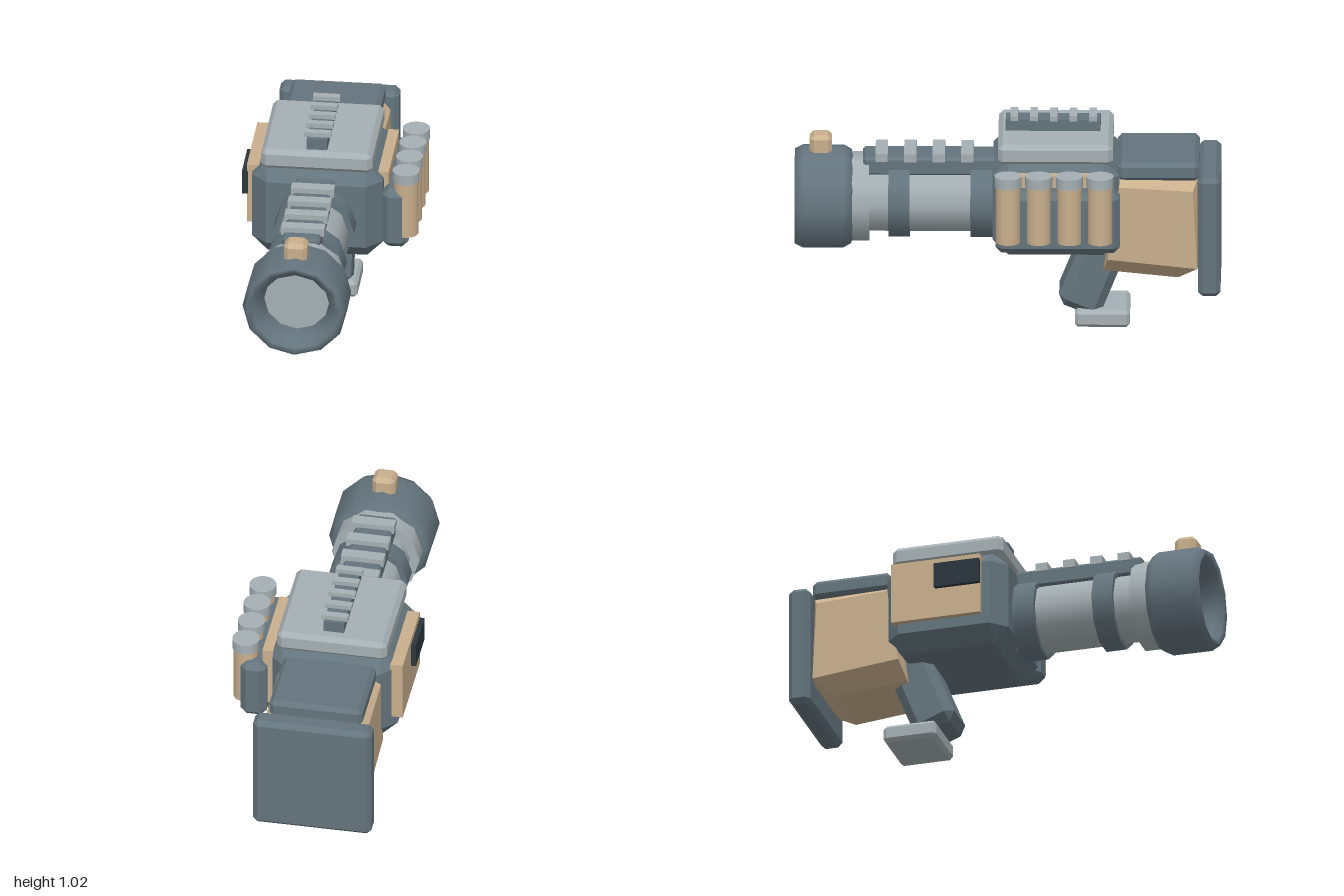
import * as THREE from 'three';
import { ConvexGeometry } from 'three/addons/geometries/ConvexGeometry.js';

const mat = (color, extra = {}) => new THREE.MeshStandardMaterial({ color, ...extra });
const dark = mat(0x64747d), light = mat(0xa5afb3), tan = mat(0xc9af8d), black = mat(0x2b363d);
const CX = -0.06, AXIS_Y = 0.6; // barrel axis

// Box with every edge and corner cut off by c
function chamferBox(w, h, d, c) {
  const pts = [];
  for (const sx of [-1, 1]) for (const sy of [-1, 1]) for (const sz of [-1, 1]) {
    const x = w / 2, y = h / 2, z = d / 2;
    pts.push(new THREE.Vector3(sx * x, sy * (y - c), sz * (z - c)),
      new THREE.Vector3(sx * (x - c), sy * y, sz * (z - c)),
      new THREE.Vector3(sx * (x - c), sy * (y - c), sz * z));
  }
  return new ConvexGeometry(pts);
}

export function createModel() {
  const model = new THREE.Group();
  const add = (name, geometry, material, x = 0, y = 0, z = 0) => {
    const mesh = new THREE.Mesh(geometry, material);
    mesh.name = name;
    mesh.position.set(x, y, z);
    model.add(mesh);
    return mesh;
  };
  // Box given by its extents; c is the chamfer
  const block = (name, material, [x0, x1], [y0, y1], [z0, z1], c = 0) => {
    const s = [x1 - x0, y1 - y0, z1 - z0];
    const geometry = c ? chamferBox(...s, c) : new THREE.BoxGeometry(...s);
    return add(name, geometry, material, (x0 + x1) / 2, (y0 + y1) / 2, (z0 + z1) / 2);
  };
  // Ten-sided tube along the barrel axis
  const ring = (name, material, r, z0, z1) => {
    const geometry = new THREE.CylinderGeometry(r, r, z1 - z0, 10, 1, false, Math.PI / 2);
    geometry.rotateX(Math.PI / 2);
    add(name, geometry, material, CX, AXIS_Y, (z0 + z1) / 2);
  };

  // Barrel with its collar and bands
  ring('barrel', light, 0.163, -0.05, 0.7);
  ring('barrelCollar', light, 0.21, 0.65, 0.8);
  ring('frontBand', dark, 0.19, 0.46, 0.56);
  ring('rearBand', dark, 0.19, 0.06, 0.175);

  // Muzzle with a rolled lip, and the recessed bore face
  const profile = [[0.18, 0.72], [0.225, 0.735], [0.245, 0.77], [0.247, 0.96], [0.227, 1.0],
    [0.2, 0.99], [0.168, 0.95], [0.155, 0.9], [0.155, 0.84]].map(p => new THREE.Vector2(...p));
  const muzzle = new THREE.LatheGeometry(profile, 12);
  muzzle.rotateX(Math.PI / 2);
  add('muzzle', muzzle, mat(0x64747d, { side: THREE.DoubleSide }), CX, AXIS_Y, 0);
  add('boreFace', new THREE.CircleGeometry(0.17, 12), light, CX, AXIS_Y, 0.87);
  block('frontSight', tan, [-0.117, -0.008], [0.8, 0.915], [0.825, 0.93], 0.02);

  // Slatted rail over the barrel
  block('barrelRail', dark, [-0.155, 0.025], [0.73, 0.82], [0.05, 0.68], 0.012);
  for (let i = 0; i < 4; i++) {
    const z = 0.19 + i * 0.134;
    block('barrelRailSlat', light, [-0.163, 0.04], [0.805, 0.845], [z - 0.029, z + 0.029]);
  }

  // Receiver, top plate and upper rail
  block('receiver', dark, [-0.372, 0.247], [0.395, 0.865], [-0.525, 0.07], 0.075);
  block('topPlate', light, [-0.325, 0.2], [0.845, 0.945], [-0.495, 0.045], 0.022);
  block('upperRail', dark, [-0.112, -0.015], [0.94, 1.0], [-0.435, 0.01]);
  for (let i = 0; i < 5; i++) {
    const z = -0.4 + i * 0.0925;
    block('upperRailSlat', light, [-0.127, 0], [0.998, 1.022], [z - 0.018, z + 0.018]);
  }

  // Side panels
  block('rightPanel', tan, [-0.4, -0.34], [0.52, 0.82], [-0.475, -0.04]);
  block('leftPanel', tan, [0.22, 0.27], [0.52, 0.82], [-0.475, -0.04]);
  block('rightClip', black, [-0.423, -0.395], [0.667, 0.788], [-0.26, -0.04]);

  // Row of canisters in a holder on the left side
  block('canisterHolder', dark, [0.245, 0.37], [0.465, 0.765], [-0.53, 0.055], 0.03);
  for (let i = 0; i < 4; i++) {
    const z = -0.005 - i * 0.144;
    add('canister', new THREE.CylinderGeometry(0.058, 0.058, 0.28, 20), tan, 0.356, 0.665, z);
    add('canisterCap', new THREE.CylinderGeometry(0.064, 0.064, 0.05, 20), light, 0.356, 0.829, z);
  }

  // Stock: tapered core, top cover and butt plate
  const core = [[0.2, 0.765, -0.52], [0.2, 0.755, -0.89], [0.245, 0.735, -0.525], [0.245, 0.715, -0.87],
    [0.245, 0.33, -0.89], [0.245, 0.375, -0.47], [0.165, 0.295, -0.45], [0.165, 0.26, -0.8],
    [0.165, 0.32, -0.9]];
  const corePoints = [-1, 1].flatMap(s => core.map(([x, y, z]) => new THREE.Vector3(s * x, y, z)));
  add('stockCore', new ConvexGeometry(corePoints), tan, CX);
  block('stockCover', dark, [-0.285, 0.16], [0.755, 0.845], [-0.9, -0.515], 0.02);
  block('buttPlate', dark, [-0.345, 0.22], [0.2, 0.79], [-1, -0.895], 0.022);

  // Slanted grip on a foot plate
  const grip = add('grip', chamferBox(0.26, 0.48, 0.215, 0.04), dark, -0.065, 0.29, -0.415);
  grip.rotation.x = -0.38;
  block('gripFoot', light, [-0.215, 0.09], [0, 0.083], [-0.573, -0.315], 0.016);

  return model;
}
